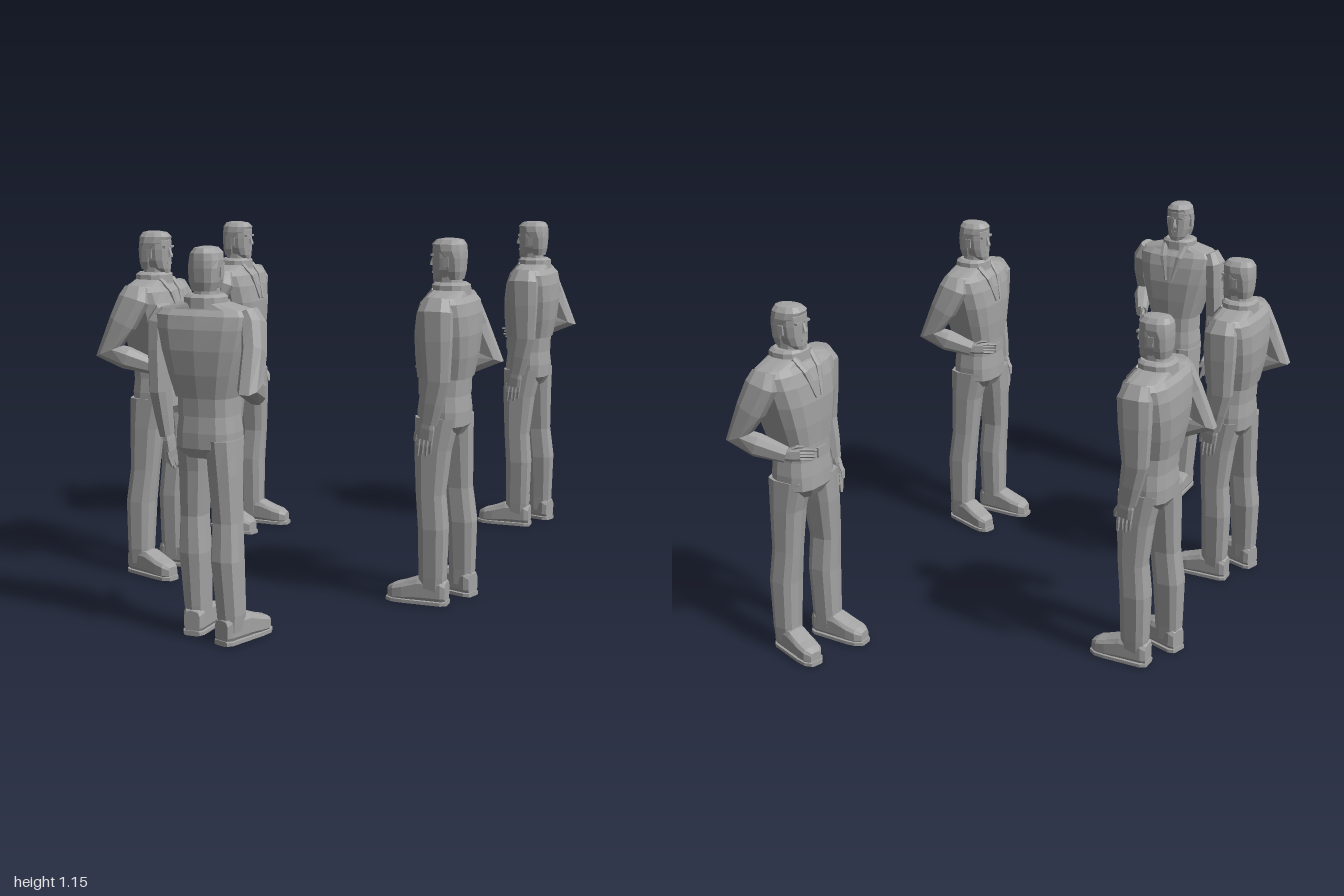
import * as THREE from 'three';

const grey = new THREE.MeshStandardMaterial({ color: 0xa3a3a3, flatShading: true });
grey.name = 'plain grey';

function add(parent, name, geometry, x = 0, y = 0, z = 0) {
  const m = new THREE.Mesh(geometry, grey);
  m.name = name;
  m.position.set(x, y, z);
  parent.add(m);
  return m;
}

// Skin through rings [x, y, z, halfWidth, halfDepth]; axis fixes the ring plane,
// otherwise rings turn with the path. A lower power gives a boxier section.
function loft(rings, { axis = null, sides = 10, power = 0.8 } = {}) {
  const pos = [], index = [];
  const centres = rings.map(r => new THREE.Vector3(r[0], r[1], r[2]));
  const last = rings.length - 1;
  rings.forEach((r, i) => {
    const t = axis ? axis.clone() : new THREE.Vector3();
    if (!axis) {
      if (i > 0) t.add(centres[i].clone().sub(centres[i - 1]).normalize());
      if (i < last) t.add(centres[i + 1].clone().sub(centres[i]).normalize());
      t.normalize();
    }
    const u = new THREE.Vector3(1, 0, 0);
    u.addScaledVector(t, -u.dot(t)).normalize();
    const v = t.clone().cross(u);
    for (let k = 0; k < sides; k++) {
      const a = (k + 0.5) / sides * Math.PI * 2, c = Math.cos(a), s = Math.sin(a);
      const p = centres[i].clone()
        .addScaledVector(u, Math.sign(c) * Math.abs(c) ** power * r[3])
        .addScaledVector(v, Math.sign(s) * Math.abs(s) ** power * r[4]);
      pos.push(p.x, p.y, p.z);
    }
  });
  for (let i = 0; i < last; i++) for (let k = 0; k < sides; k++) {
    const a = i * sides + k, b = i * sides + (k + 1) % sides;
    index.push(a, b, b + sides, a, b + sides, a + sides);
  }
  // End caps
  const c0 = pos.length / 3;
  for (const c of [centres[0], centres[last]]) pos.push(c.x, c.y, c.z);
  for (let k = 0; k < sides; k++) {
    const n = (k + 1) % sides;
    index.push(c0, n, k, c0 + 1, last * sides + k, last * sides + n);
  }
  const g = new THREE.BufferGeometry();
  g.setAttribute('position', new THREE.Float32BufferAttribute(pos, 3));
  g.setIndex(index);
  g.computeVertexNormals();
  return g;
}

const UP = new THREE.Vector3(0, 1, 0), FORWARD = new THREE.Vector3(0, 0, 1);

// Hand hanging down from the wrist, thumb towards +z
function makeHand(name) {
  const hand = new THREE.Group();
  hand.name = name;
  add(hand, 'palm', loft([
    [0, 0.01, 0, 0.012, 0.018], [0, -0.02, 0.002, 0.013, 0.026], [0, -0.055, 0.002, 0.011, 0.026],
  ], { sides: 8, power: 0.6 }));
  [0.072, 0.062, 0.066, 0.056].forEach((len, i) => {
    const z = 0.021 - i * 0.013;
    add(hand, 'finger', loft([
      [0, -0.05, z, 0.008, 0.006], [0, -0.05 - len * 0.4, z, 0.008, 0.006],
      [-0.006, -0.045 - len, z, 0.005, 0.004],
    ], { sides: 5, power: 1 }));
  });
  add(hand, 'thumb', loft([
    [0, -0.012, 0.016, 0.008, 0.009], [-0.004, -0.045, 0.034, 0.008, 0.007],
    [-0.008, -0.07, 0.036, 0.005, 0.005],
  ], { sides: 5, power: 1 }));
  return hand;
}

function makeShoe(name) {
  const shoe = new THREE.Group();
  shoe.name = name;
  add(shoe, 'upper', loft([
    [0, 0.042, -0.05, 0.026, 0.034], [0, 0.047, -0.035, 0.034, 0.042], [0, 0.047, 0.04, 0.036, 0.042],
    [0, 0.037, 0.09, 0.037, 0.031], [0, 0.032, 0.122, 0.034, 0.026], [0, 0.027, 0.142, 0.02, 0.019],
  ], { axis: FORWARD, power: 0.55 }));
  add(shoe, 'sole', loft([
    [0, 0.008, -0.053, 0.026, 0.008], [0, 0.008, -0.037, 0.036, 0.008],
    [0, 0.008, 0.09, 0.039, 0.008], [0, 0.008, 0.125, 0.036, 0.008], [0, 0.008, 0.147, 0.021, 0.008],
  ], { axis: FORWARD, sides: 8, power: 0.4 }));
  return shoe;
}

function makeHead() {
  const head = new THREE.Group();
  head.name = 'head';
  add(head, 'neck', loft([
    [0, 0.97, -0.01, 0.04, 0.042], [0, 1.05, -0.002, 0.034, 0.036]], { axis: UP }));
  add(head, 'face', loft([
    [0, 1.013, 0.022, 0.02, 0.024], [0, 1.028, 0.01, 0.034, 0.038], [0, 1.055, 0.002, 0.042, 0.046],
    [0, 1.09, 0, 0.045, 0.049], [0, 1.12, 0, 0.044, 0.049], [0, 1.138, -0.002, 0.036, 0.044],
  ], { axis: UP, sides: 12 }));
  add(head, 'hair', loft([
    [0, 1.025, -0.024, 0.036, 0.024], [0, 1.05, -0.023, 0.044, 0.031], [0, 1.09, -0.019, 0.047, 0.038],
    [0, 1.112, -0.006, 0.048, 0.051], [0, 1.132, -0.002, 0.044, 0.053],
    [0, 1.146, -0.004, 0.031, 0.042], [0, 1.15, -0.006, 0.014, 0.022],
  ], { axis: UP, sides: 12 }));
  add(head, 'nose', loft([
    [0, 1.066, 0.048, 0.01, 0.012], [0, 1.072, 0.05, 0.008, 0.011], [0, 1.096, 0.045, 0.005, 0.006],
  ], { axis: UP, sides: 6 }));
  add(head, 'mouth', new THREE.BoxGeometry(0.026, 0.006, 0.008), 0, 1.045, 0.045);
  for (const s of [-1, 1]) {
    add(head, 'brow', new THREE.BoxGeometry(0.026, 0.007, 0.012), s * 0.019, 1.099, 0.043);
    add(head, 'ear', new THREE.BoxGeometry(0.007, 0.03, 0.018), s * 0.046, 1.078, -0.004);
  }
  return head;
}

function makeFigure() {
  const f = new THREE.Group();
  f.add(makeHead());

  // Jacket
  add(f, 'jacket', loft([
    [0, 0.722, 0.004, 0.092, 0.082], [0, 0.79, 0, 0.112, 0.09], [0, 0.86, -0.003, 0.132, 0.093],
    [0, 0.92, -0.006, 0.146, 0.087], [0, 0.958, -0.008, 0.15, 0.076], [0, 0.975, -0.009, 0.136, 0.06],
    [0, 0.993, -0.01, 0.062, 0.053],
  ], { axis: UP, sides: 14, power: 0.65 }));
  add(f, 'waistband', loft([
    [0, 0.668, 0.006, 0.088, 0.076], [0, 0.73, 0.005, 0.087, 0.077],
  ], { axis: UP, sides: 14, power: 0.65 }));
  add(f, 'collar', loft([
    [0, 0.978, -0.01, 0.063, 0.06], [0, 1.008, -0.01, 0.061, 0.058], [0, 1.016, -0.008, 0.05, 0.048],
  ], { axis: UP, sides: 12 }));
  for (const s of [-1, 1]) add(f, 'lapel', loft([
    [s * 0.042, 0.995, 0.035, 0.012, 0.006], [s * 0.032, 0.955, 0.07, 0.014, 0.006],
    [s * 0.012, 0.87, 0.09, 0.005, 0.004],
  ], { sides: 6 }));
  add(f, 'buckle', new THREE.BoxGeometry(0.04, 0.032, 0.008), 0, 0.688, 0.083);

  // Trousers
  add(f, 'hips', loft([
    [0, 0.545, 0.006, 0.07, 0.06], [0, 0.575, 0.006, 0.095, 0.08],
    [0, 0.62, 0.005, 0.094, 0.079], [0, 0.675, 0.005, 0.086, 0.073],
  ], { axis: UP, sides: 14, power: 0.7 }));
  add(f, 'leftLeg', loft([
    [0.053, 0.04, 0.024, 0.035, 0.043], [0.055, 0.09, 0.022, 0.038, 0.045],
    [0.06, 0.25, 0.02, 0.045, 0.048], [0.064, 0.36, 0.028, 0.039, 0.048],
    [0.056, 0.5, 0.025, 0.045, 0.06], [0.05, 0.6, 0.014, 0.048, 0.072],
  ], { axis: UP, power: 0.7 }));
  add(f, 'rightLeg', loft([
    [-0.08, 0.04, -0.035, 0.036, 0.04], [-0.08, 0.09, -0.035, 0.04, 0.042],
    [-0.07, 0.25, -0.035, 0.046, 0.048], [-0.066, 0.36, -0.022, 0.041, 0.047],
    [-0.057, 0.5, -0.016, 0.046, 0.055], [-0.05, 0.6, -0.004, 0.048, 0.07],
  ], { axis: UP, power: 0.7 }));

  // Shoes
  const leftShoe = makeShoe('leftShoe');
  leftShoe.position.set(0.054, 0, 0.025);
  const rightShoe = makeShoe('rightShoe');
  rightShoe.position.set(-0.082, 0, -0.028);
  rightShoe.rotation.y = -0.33;
  f.add(leftShoe, rightShoe);

  // Left arm hangs down
  add(f, 'leftSleeve', loft([
    [0.132, 0.974, -0.006, 0.02, 0.04], [0.146, 0.935, -0.004, 0.032, 0.055],
    [0.15, 0.85, -0.008, 0.03, 0.052], [0.15, 0.73, -0.012, 0.028, 0.042],
    [0.148, 0.66, 0.002, 0.024, 0.036], [0.145, 0.595, 0.014, 0.019, 0.028],
  ], { sides: 8 }));
  const leftHand = makeHand('leftHand');
  leftHand.position.set(0.145, 0.6, 0.016);
  leftHand.rotation.set(-0.15, 0, -0.1);
  f.add(leftHand);

  // Right arm is bent, with the hand in front of the waist
  add(f, 'rightSleeve', loft([
    [-0.132, 0.974, -0.006, 0.02, 0.04], [-0.147, 0.935, -0.008, 0.032, 0.053],
    [-0.163, 0.86, -0.042, 0.032, 0.047], [-0.17, 0.768, -0.088, 0.032, 0.05],
    [-0.162, 0.746, -0.03, 0.031, 0.037], [-0.128, 0.716, 0.05, 0.021, 0.025],
  ], { sides: 8 }));
  const rightHand = makeHand('rightHand');
  rightHand.position.set(-0.128, 0.715, 0.046);
  rightHand.rotation.set(-Math.PI / 2, 0.5, 0, 'YXZ');
  rightHand.scale.setScalar(0.82);
  f.add(rightHand);
  return f;
}

export function createModel() {
  const model = new THREE.Group();
  // Five figures: x, z and heading
  const places = [
    [-0.505, -0.378, Math.PI / 2], [-0.505, 0.272, Math.PI / 2],
    [0.505, -0.8, -Math.PI / 2], [0.505, 0.275, -Math.PI / 2], [-0.03, 0.867, Math.PI],
  ];
  const figure = makeFigure();
  places.forEach(([x, z, heading], i) => {
    const copy = figure.clone();
    copy.name = 'standingMan' + (i + 1);
    copy.position.set(x, 0, z);
    copy.rotation.y = heading;
    model.add(copy);
  });
  return model;
}
